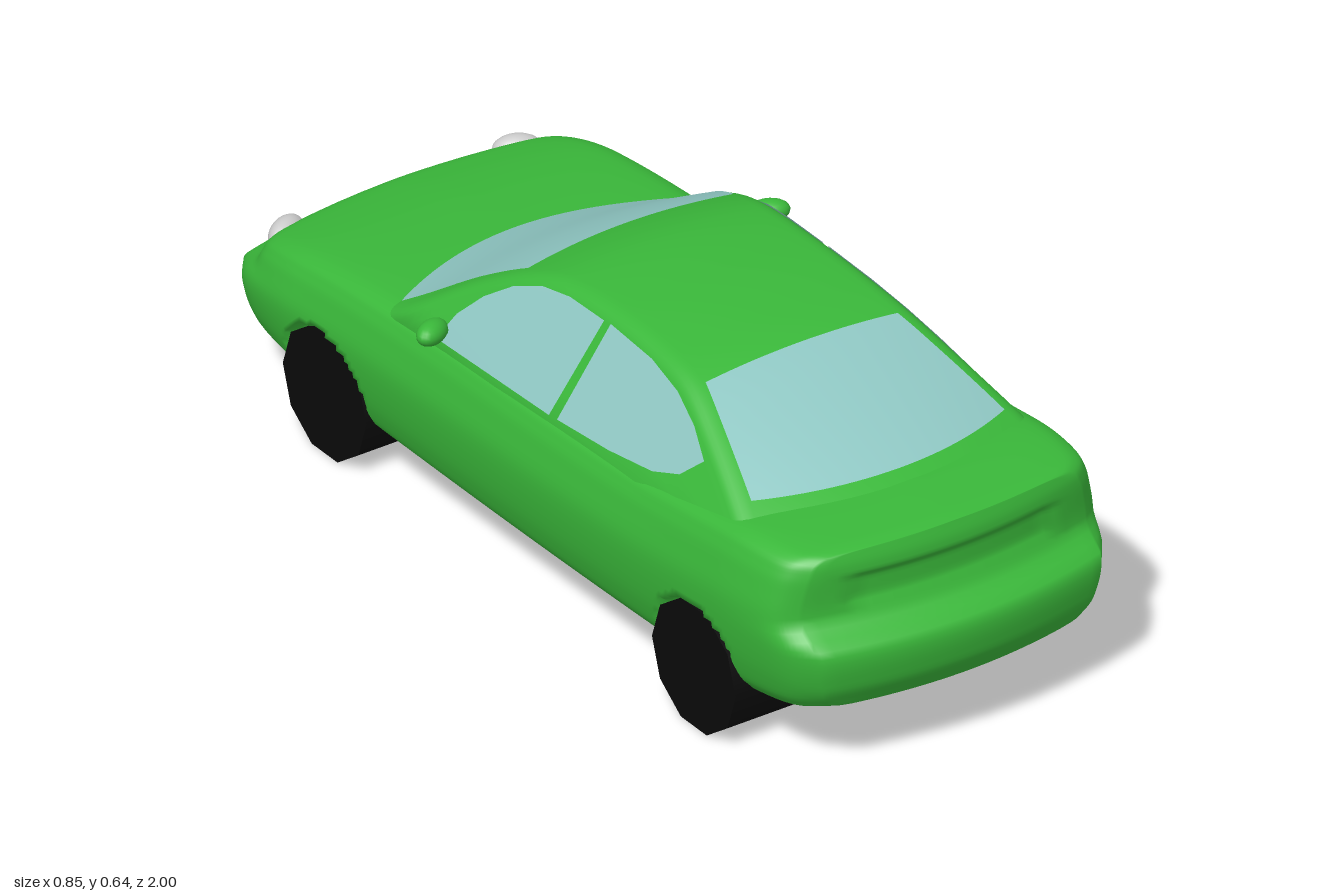
import * as THREE from 'three';
import { mergeGeometries, mergeVertices } from 'three/addons/utils/BufferGeometryUtils.js';

const mat = (color, double) => new THREE.MeshStandardMaterial({ color, side: double ? THREE.DoubleSide : THREE.FrontSide });
const PAINT = mat(0x3ab83a), GLASS = mat(0x90c8c4, true), TYRE = mat(0x0a0a0a), LAMP = mat(0xc8c8c8), AMBER = mat(0xe89a18);
const lerp = THREE.MathUtils.lerp;

// Smooth value through [position, value] knots, held constant past the ends
function curve(k, p) {
  if (p <= k[0][0]) return k[0][1];
  const n = k.length - 1;
  if (p >= k[n][0]) return k[n][1];
  let i = 0;
  while (p > k[i + 1][0]) i++;
  const slope = (a, b) => (k[b][1] - k[a][1]) / (k[b][0] - k[a][0]);
  const m = (q) => slope(Math.max(q - 1, 0), Math.min(q + 1, n));
  const d = k[i + 1][0] - k[i][0], t = (p - k[i][0]) / d, t2 = t * t, t3 = t2 * t;
  return (2 * t3 - 3 * t2 + 1) * k[i][1] + (t3 - 2 * t2 + t) * d * m(i)
    + (3 * t2 - 2 * t3) * k[i + 1][1] + (t3 - t2) * d * m(i + 1);
}

// Grid surface whose outside faces (dj x di)
function grid(ni, nj, f) {
  const pos = [], idx = [];
  for (let i = 0; i <= ni; i++) for (let j = 0; j <= nj; j++) pos.push(...f(i, j));
  for (let i = 0; i < ni; i++) for (let j = 0; j < nj; j++) {
    const a = i * (nj + 1) + j, c = a + nj + 1;
    idx.push(a, a + 1, c, a + 1, c + 1, c);
  }
  const g = new THREE.BufferGeometry();
  g.setAttribute('position', new THREE.Float32BufferAttribute(pos, 3));
  g.setIndex(idx);
  g.computeVertexNormals();
  return g;
}

// Lower body: heights, plan width and end profiles
const TOP = [[-1, .3], [-.95, .33], [-.85, .354], [-.7, .382], [-.5, .405], [-.2, .425], [.1, .435], [.4, .45], [.6, .472], [.75, .488], [.93, .488], [1, .484]];
const BOTTOM = [[-1, .125], [-.7, .11], [-.4, .1], [.4, .108], [.7, .125], [.9, .145], [1, .165]];
const WIDTH = [[-1, .8], [-.93, .91], [-.85, .965], [-.7, 1], [.7, 1], [.85, .975], [.93, .93], [1, .83]];
const TAIL = [[.14, .95], [.18, .975], [.22, .995], [.3, 1], [.325, .965], [.345, .945], [.45, .945], [.49, .935]];
const NOSE = [[.12, .965], [.15, .985], [.2, .995], [.235, .995], [.26, .97], [.285, .93], [.33, .91]];
const HALF = new THREE.SplineCurve([[0, 0], [.29, 0], [.345, .05], [.37, .2], [.385, .4], [.39, .6], [.38, .76], [.368, .87],
  [.345, .95], [.27, .985], [0, 1]].map(([x, y]) => new THREE.Vector2(x, y))).getPoints(50);
const WHEELS = [{ name: 'front', z: -.597 }, { name: 'rear', z: .613 }];
const bump = (p, a, b) => THREE.MathUtils.smoothstep(p, a - .012, a + .008) * (1 - THREE.MathUtils.smoothstep(p, b - .008, b + .012));

function bodyPoint(v, k, side) {
  const b = curve(BOTTOM, v), t = curve(TOP, v);
  let x = Math.max(0, HALF[k].x) * curve(WIDTH, v) * side;
  const y = lerp(b, t, THREE.MathUtils.clamp(HALF[k].y, 0, 1));
  // Ends follow the bumper profile, with a recessed tail panel and air intake
  let end = curve(v > 0 ? TAIL : NOSE, y) - .45 * x * x;
  end -= v > 0 ? .01 * bump(y, .365, .425) * bump(Math.abs(x), -1, .23) : .025 * bump(y, .15, .185) * bump(Math.abs(x), -1, .23);
  const z = v + Math.sign(v) * (end - 1) * v ** 8;
  // Wheel arches
  for (const w of WHEELS) if (Math.hypot(z - w.z, y - .136) < .134) x = THREE.MathUtils.clamp(x, -.366, .366);
  return [x, y, z];
}

function bodyGeometry() {
  const n = HALF.length - 1, steps = 160;
  const shell = grid(steps, 2 * n, (i, j) => bodyPoint(-1 + 2 * i / steps, j <= n ? j : 2 * n - j, j <= n ? 1 : -1));
  const cap = (v) => grid(n, 24, (i, j) => bodyPoint(v, i, v * (j / 12 - 1)));
  const all = mergeGeometries([shell, cap(1), cap(-1)]);
  all.deleteAttribute('normal');
  const g = mergeVertices(all, 1e-5);
  g.computeVertexNormals();
  return g;
}

// Cabin: leaning sides under a crowned roof line
const ROOF = [[-.56, .385], [-.51, .405], [-.4, .46], [-.25, .545], [-.13, .6], [-.02, .63], [.15, .641], [.3, .637], [.42, .622], [.55, .578], [.75, .5], [.84, .46]];
const sideX = (y) => Math.min(.36, .362 - .6 * (y - .42));
const roofY = (x, z) => curve(ROOF, .1 + (z - .1) * (1 + .1 * (x / .33) ** 2)) - .2 * x * x;

function cabinSection(z) {
  let y = .5;
  for (let i = 0; i < 30; i++) y = (y + roofY(sideX(y), z)) / 2;
  const cx = sideX(y), low = y - .02, inX = cx - .03, pts = [];
  for (let i = 0; i <= 6; i++) { const h = lerp(.34, low, i / 6); pts.push([sideX(h), h]); }
  for (let i = 1; i <= 5; i++) {
    const t = i / 5, a = (1 - t) ** 2, b = 2 * t * (1 - t), c = t * t;
    pts.push([a * sideX(low) + b * cx + c * inX, a * low + b * y + c * roofY(inX, z)]);
  }
  for (let i = 1; i <= 8; i++) { const x = inX * (1 - i / 8); pts.push([x, roofY(x, z)]); }
  return pts;
}

function cabinGeometry() {
  const steps = 70, sections = [];
  for (let i = 0; i <= steps; i++) sections.push(cabinSection(lerp(-.54, .82, i / steps)));
  const n = sections[0].length - 1;
  return grid(steps, 2 * n, (i, j) => {
    const [x, y] = sections[i][j <= n ? j : 2 * n - j];
    return [j <= n ? x : -x, y, lerp(-.54, .82, i / steps)];
  });
}

// Screen laid over the roof surface; each edge is [half width, z at side, z at centre]
const screen = (a, b) => grid(24, 16, (i, j) => {
  const s = i / 12 - 1, t = j / 16, x = s * lerp(a[0], b[0], t);
  const z = lerp(lerp(a[2], a[1], s * s), lerp(b[2], b[1], s * s), t);
  return [x, roofY(x, z) + .004, z];
});

// Side pane from a [z, y] outline
function pane(outline, side) {
  const g = new THREE.ShapeGeometry(new THREE.Shape(outline.map(([z, y]) => new THREE.Vector2(z, y))));
  const p = g.attributes.position;
  for (let i = 0; i < p.count; i++) {
    const z = p.getX(i), y = p.getY(i);
    p.setXYZ(i, side * (sideX(y) + .003), y, z);
  }
  g.computeVertexNormals();
  return g;
}
const FRONT_PANE = [[.115, .43], [.14, .612], [.03, .61], [-.05, .597], [-.12, .568], [-.18, .525], [-.225, .475], [-.25, .42]];
const REAR_PANE = [[.14, .432], [.3, .442], [.43, .457], [.5, .48], [.545, .522], [.48, .56], [.4, .59], [.3, .608], [.16, .614]];

export function createModel() {
  const car = new THREE.Group();
  car.name = 'car';
  const add = (name, geometry, material, pos = [0, 0, 0], rot = [0, 0, 0], scale = [1, 1, 1]) => {
    const m = new THREE.Mesh(geometry, material);
    m.name = name;
    m.position.set(...pos);
    m.rotation.set(...rot);
    m.scale.set(...scale);
    car.add(m);
  };

  add('body', bodyGeometry(), PAINT);
  add('cabin', cabinGeometry(), PAINT);
  add('windscreen', screen([.33, -.41, -.51], [.235, -.13, -.148]), GLASS);
  add('rearScreen', screen([.22, .43, .43], [.29, .68, .75]), GLASS);
  add('numberPlateHolder', new THREE.BoxGeometry(.16, .065, .03), PAINT, [0, .205, -.985]);

  // Ten-sided rollers spanning the full track
  for (const w of WHEELS) {
    const g = new THREE.CylinderGeometry(.137, .137, .75, 10).rotateZ(Math.PI / 2);
    g.computeBoundingBox();
    add(w.name + 'Wheels', g, TYRE, [0, -g.boundingBox.min.y, w.z]);
  }

  // Parts on both flanks
  const ball = new THREE.SphereGeometry(1, 20, 12);
  for (const s of [1, -1]) {
    const n = s > 0 ? 'left' : 'right';
    add(n + 'FrontWindow', pane(FRONT_PANE, s), GLASS);
    add(n + 'RearWindow', pane(REAR_PANE, s), GLASS);
    add(n + 'Headlight', ball, LAMP, [s * .265, .305, -.88], [0, -s * .5, 0], [.05, .032, .03]);
    add(n + 'Indicator', ball, AMBER, [s * .275, .168, -.945], [0, -s * .4, 0], [.026, .018, .02]);
    add(n + 'Mirror', ball, PAINT, [s * .384, .449, -.232], [0, -s * .5, s * .1], [.044, .024, .026]);
    add(n + 'MirrorArm', ball, PAINT, [s * .352, .437, -.252], [0, -s * .5, s * .3], [.035, .014, .025]);
  }
  return car;
}
